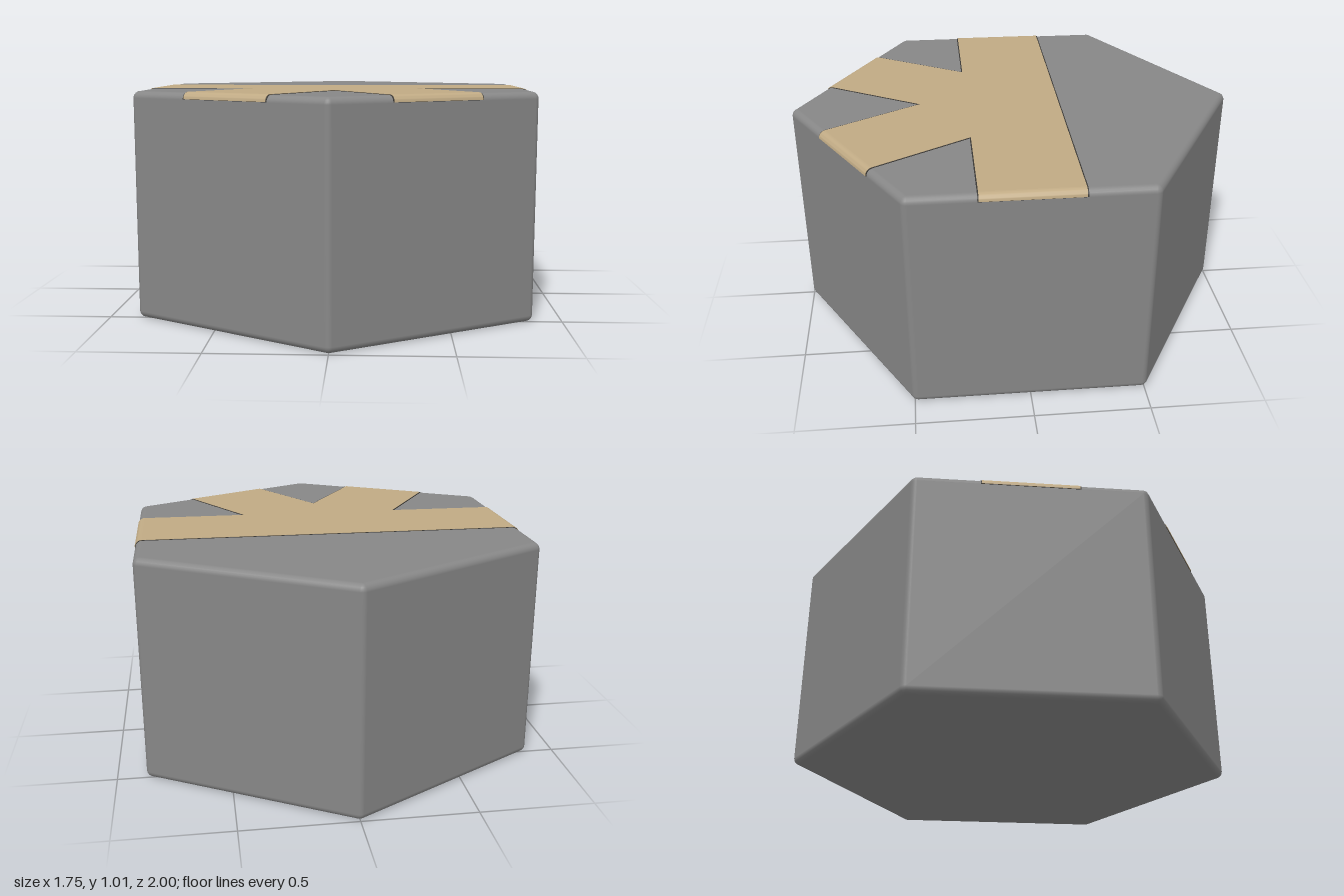
import * as THREE from 'three';
import { toCreasedNormals } from 'three/addons/utils/BufferGeometryUtils.js';

const R = 0.03;                       // rounding of every edge
const H = 1.005;                      // tile height
const CORE = 1 - R;                   // corner radius of the hexagon before rounding
const FLAT = CORE * Math.cos(Math.PI / 6) + R; // centre to side face
const ARMS = [0, 1, 2, 3].map(i => i * Math.PI / 3);

// Hexagonal prism rounded by a sphere: each normal is pushed out from its core corner
function roundedHex() {
  const pos = [], nor = [], idx = [], seg = 5, rings = [];
  for (let j = 0; j <= seg; j++) rings.push([-Math.PI / 2 * (1 - j / seg), R]);
  for (let j = 0; j <= seg; j++) rings.push([Math.PI / 2 * j / seg, H - R]);
  const cols = 6 * (seg + 1);
  for (const [b, y] of rings) {
    for (let k = 0; k < 6; k++) {
      const c = (k + 0.5) * Math.PI / 3;
      for (let s = 0; s <= seg; s++) {
        const a = (k + s / seg) * Math.PI / 3;
        const n = [Math.cos(b) * Math.cos(a), Math.sin(b), Math.cos(b) * Math.sin(a)];
        pos.push(CORE * Math.cos(c) + R * n[0], y + R * n[1], CORE * Math.sin(c) + R * n[2]);
        nor.push(...n);
      }
    }
  }
  for (let j = 0; j < rings.length - 1; j++) {
    for (let i = 0; i < cols; i++) {
      const n = (i + 1) % cols, p = j * cols, q = p + cols;
      idx.push(p + i, q + i, p + n, p + n, q + i, q + n);
    }
  }
  // Flat bottom and top
  const bottom = pos.length / 3, top = bottom + 1, last = (rings.length - 1) * cols;
  pos.push(0, 0, 0, 0, H, 0);
  nor.push(0, -1, 0, 0, 1, 0);
  for (let i = 0; i < cols; i++) {
    const n = (i + 1) % cols;
    idx.push(bottom, i, n, top, last + n, last + i);
  }
  const g = new THREE.BufferGeometry();
  g.setAttribute('position', new THREE.Float32BufferAttribute(pos, 3));
  g.setAttribute('normal', new THREE.Float32BufferAttribute(nor, 3));
  g.setIndex(idx);
  return g;
}

// Flat part of the path: four arms of half width w meeting in the middle
function plate(w, lift) {
  const pts = [], reach = FLAT + lift - R;
  ARMS.forEach((a, i) => {
    const c = Math.cos(a), s = Math.sin(a);
    pts.push(new THREE.Vector2(c * reach + s * w, s * reach - c * w));
    pts.push(new THREE.Vector2(c * reach - s * w, s * reach + c * w));
    if (i < ARMS.length - 1) {
      const m = a + Math.PI / 6;
      pts.push(new THREE.Vector2(2 * w * Math.cos(m), 2 * w * Math.sin(m)));
    }
  });
  const g = new THREE.ExtrudeGeometry(new THREE.Shape(pts), { depth: R, bevelEnabled: false });
  return g.rotateX(Math.PI / 2).translate(0, H + lift, 0);
}

// End of an arm, curving over the rounded rim of the tile
function armEnd(w, lift, angle) {
  const y = H + lift - R, reach = FLAT + lift - R;
  const s = new THREE.Shape();
  s.moveTo(reach, y);
  s.lineTo(reach + R, y);
  s.absarc(reach, y, R, 0, Math.PI / 2, false);
  s.closePath();
  const g = new THREE.ExtrudeGeometry(s, { depth: 2 * w, bevelEnabled: false, curveSegments: 5 });
  return toCreasedNormals(g.translate(0, 0, -w), 0.5).rotateY(-angle);
}

export function createModel() {
  const model = new THREE.Group();
  model.name = 'hexTile';
  const add = (parent, name, geometry, material) => {
    const mesh = new THREE.Mesh(geometry, material);
    mesh.name = name;
    parent.add(mesh);
  };
  const addPath = (name, w, lift, color) => {
    const group = new THREE.Group();
    group.name = name;
    const material = new THREE.MeshStandardMaterial({ color });
    add(group, name + 'Plate', plate(w, lift), material);
    ARMS.forEach((a, i) => add(group, name + 'End' + (i + 1), armEnd(w, lift, a), material));
    model.add(group);
  };

  add(model, 'tileBody', roundedHex(), new THREE.MeshStandardMaterial({ color: 0x878787 }));
  // Sandy path, with a thin dark seam showing along its sides
  addPath('path', 0.211, 0.003, 0xc0aa84);
  addPath('seam', 0.216, 0.0015, 0x3a3835);
  return model;
}
